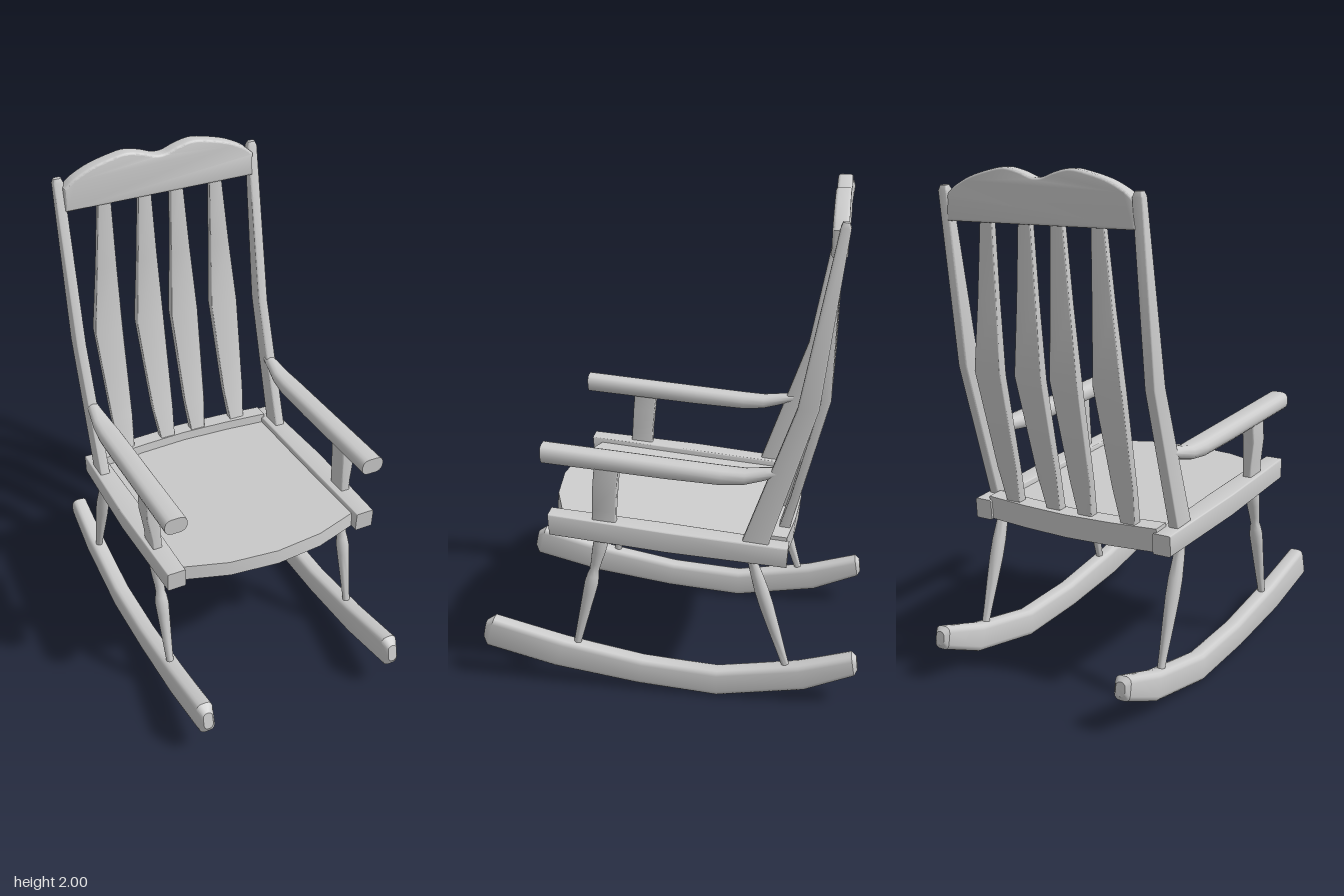
import * as THREE from 'three';
import { toCreasedNormals } from 'three/addons/utils/BufferGeometryUtils.js';

const material = new THREE.MeshStandardMaterial({ color: 0xcccccc });

function add(group, name, geometry, crease = 0.6) {
  const mesh = new THREE.Mesh(toCreasedNormals(geometry, crease), material);
  mesh.name = name;
  group.add(mesh);
  return mesh;
}

// Bar through stations [zA, yA, zB, yB, x, halfWidth]: A and B are opposite edges
// of a rounded section. Upright bars run upwards with A at the back; lying bars
// run from back to front with A on top.
function bar(stations, radius) {
  const pos = [], index = [], steps = 3, n = 4 * (steps + 1);
  for (const [za, ya, zb, yb, x, w] of stations) {
    const dz = (za - zb) / 2, dy = (ya - yb) / 2, h = Math.hypot(dz, dy);
    const r = Math.min(radius, w * 0.95, h * 0.95);
    for (let c = 0; c < 4; c++) {
      const su = c === 0 || c === 3 ? 1 : -1, sv = c < 2 ? 1 : -1;
      for (let k = 0; k <= steps; k++) {
        const t = (c + k / steps) * Math.PI / 2;
        const u = su * (w - r) + r * Math.cos(t);
        const v = (sv * (h - r) + r * Math.sin(t)) / h;
        pos.push(x + u, (ya + yb) / 2 + dy * v, (za + zb) / 2 + dz * v);
      }
    }
  }
  const last = (stations.length - 1) * n;
  for (let i = 0; i < last; i += n)
    for (let j = 0; j < n; j++) {
      const k = (j + 1) % n;
      index.push(i + j, i + k, i + n + k, i + j, i + n + k, i + n + j);
    }
  for (let j = 1; j < n - 1; j++) index.push(0, j + 1, j, last, last + j, last + j + 1);
  const g = new THREE.BufferGeometry();
  g.setAttribute('position', new THREE.Float32BufferAttribute(pos, 3));
  g.setIndex(index);
  return g;
}

// Slab from a plan outline of [x, z], tilted to the slope of the seat
function slab(outline, thickness, bottom) {
  const shape = new THREE.Shape(outline.map(([x, z]) => new THREE.Vector2(x, -z)));
  const g = new THREE.ExtrudeGeometry(shape, { depth: thickness, bevelEnabled: false });
  return g.rotateX(-Math.PI / 2).rotateX(-0.09).translate(0, bottom, 0);
}

// Turned leg between two points, profile of [radius, fraction from the bottom]
function turned(profile, from, to) {
  const a = new THREE.Vector3(...from), dir = new THREE.Vector3(...to).sub(a);
  const length = dir.length();
  const g = new THREE.LatheGeometry(profile.map(([r, t]) => new THREE.Vector2(r, t * length)), 14);
  g.applyQuaternion(new THREE.Quaternion().setFromUnitVectors(new THREE.Vector3(0, 1, 0), dir.normalize()));
  return g.translate(a.x, a.y, a.z);
}

export function createModel() {
  const chair = new THREE.Group();
  chair.name = 'rockingChair';

  // Seat board with a bowed front, and the raised rear rail
  add(chair, 'seat', slab([[-0.39, -0.44], [0.39, -0.44], [0.39, 0.425], [0.2, 0.49],
    [0, 0.512], [-0.2, 0.49], [-0.39, 0.425]], 0.062, 0.638), 0.3);
  add(chair, 'rearRail', slab([[-0.39, -0.455], [-0.2, -0.477], [0, -0.487], [0.2, -0.477], [0.39, -0.455],
    [0.39, -0.385], [0.2, -0.405], [0, -0.415], [-0.2, -0.405], [-0.39, -0.385]], 0.094, 0.645), 0.3);

  // Wavy crest rail
  const crest = new THREE.Shape();
  crest.moveTo(-0.4, 1.81);
  crest.lineTo(0.4, 1.81);
  crest.lineTo(0.4, 1.893);
  crest.splineThru([[0.36, 1.925], [0.29, 1.958], [0.2, 1.982], [0.14, 1.99], [0.08, 1.978], [0.03, 1.96],
    [0, 1.956], [-0.03, 1.96], [-0.08, 1.978], [-0.14, 1.99], [-0.2, 1.982], [-0.29, 1.958],
    [-0.36, 1.925], [-0.4, 1.893]].map(p => new THREE.Vector2(...p)));
  const crestGeometry = new THREE.ExtrudeGeometry(crest, {
    depth: 0.034, curveSegments: 28, bevelThickness: 0.012, bevelSize: 0.01, bevelSegments: 3 });
  add(chair, 'crestRail', crestGeometry.translate(0, 0, -0.629));

  for (const s of [1, -1]) {
    const side = new THREE.Group();
    side.name = s > 0 ? 'leftSide' : 'rightSide';
    chair.add(side);

    // Curved rocker
    add(side, 'rocker', bar([
      [-0.75, 0.215, -0.757, 0.16, s * 0.42, 0.02], [-0.73, 0.23, -0.745, 0.14, s * 0.42, 0.034],
      [-0.52, 0.168, -0.55, 0.06, s * 0.42, 0.036], [-0.2, 0.117, -0.2, 0.004, s * 0.42, 0.036],
      [0.1, 0.14, 0.12, 0.03, s * 0.42, 0.036], [0.42, 0.2, 0.46, 0.08, s * 0.42, 0.036],
      [0.71, 0.275, 0.745, 0.15, s * 0.42, 0.034], [0.745, 0.255, 0.76, 0.18, s * 0.42, 0.02]], 0.022));

    // Side rail of the seat, slightly bowed outwards
    add(side, 'seatRail', bar([[-0.47, 0.682, -0.465, 0.6, s * 0.416, 0.038],
      [0, 0.724, 0, 0.637, s * 0.42, 0.045], [0.465, 0.762, 0.46, 0.676, s * 0.416, 0.038]], 0.006));

    // Turned legs
    add(side, 'frontLeg', turned([[0.014, 0], [0.016, 0.12], [0.022, 0.35], [0.026, 0.5], [0.028, 0.58],
      [0.024, 0.64], [0.019, 0.68], [0.021, 0.74], [0.027, 0.84], [0.029, 0.91], [0.024, 1]],
      [s * 0.42, 0.15, 0.378], [s * 0.42, 0.69, 0.252]), 1);
    add(side, 'rearLeg', turned([[0.014, 0], [0.017, 0.15], [0.023, 0.35], [0.028, 0.55], [0.028, 0.68],
      [0.023, 0.82], [0.018, 0.92], [0.02, 1]],
      [s * 0.42, 0.13, -0.48], [s * 0.42, 0.65, -0.318]), 1);

    // Arm post and arm
    add(side, 'armPost', bar([[0.2, 0.7, 0.296, 0.7, s * 0.422, 0.018], [0.197, 0.79, 0.29, 0.79, s * 0.424, 0.02],
      [0.189, 0.89, 0.284, 0.89, s * 0.432, 0.026], [0.18, 0.98, 0.276, 0.98, s * 0.43, 0.026]], 0.006));
    add(side, 'arm', bar([[-0.43, 1.0, -0.42, 0.965, s * 0.42, 0.022], [-0.375, 0.997, -0.36, 0.945, s * 0.42, 0.029],
      [-0.3, 0.986, -0.295, 0.931, s * 0.42, 0.04], [-0.21, 0.99, -0.21, 0.926, s * 0.42, 0.046],
      [0, 1.007, 0, 0.938, s * 0.42, 0.046], [0.483, 1.047, 0.48, 0.975, s * 0.42, 0.046]], 0.028));

    // Bent back stile
    add(side, 'backStile', bar([[-0.385, 0.66, -0.28, 0.66, s * 0.422, 0.021],
      [-0.565, 1.24, -0.485, 1.24, s * 0.422, 0.021], [-0.649, 1.91, -0.612, 1.915, s * 0.422, 0.021],
      [-0.643, 1.93, -0.619, 1.932, s * 0.422, 0.015]], 0.007));

    // Slats, widest at the bend
    for (const [name, low, mid, high] of [['outerSlat', 0.267, 0.269, 0.243], ['innerSlat', 0.073, 0.08, 0.07]])
      add(side, name, bar([[-0.462, 0.68, -0.418, 0.68, s * low, 0.03],
        [-0.502, 0.84, -0.465, 0.835, s * (low + mid) / 2, 0.046],
        [-0.605, 1.24, -0.565, 1.23, s * mid, 0.061],
        [-0.612, 1.52, -0.582, 1.52, s * (mid + high) / 2, 0.043],
        [-0.622, 1.83, -0.596, 1.83, s * high, 0.026]], 0.004));
  }
  return chair;
}
